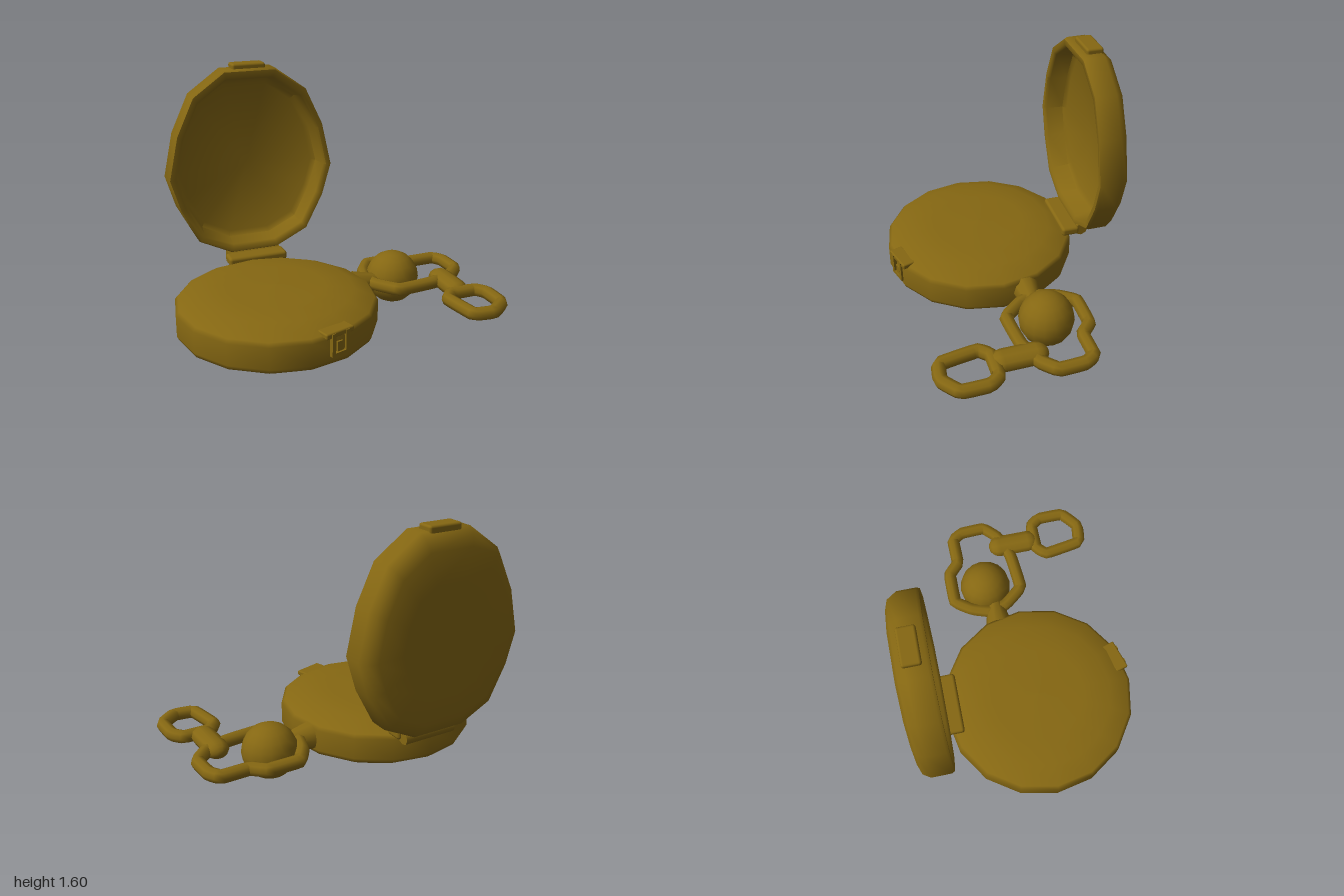
import * as THREE from 'three';
import { toCreasedNormals } from 'three/addons/utils/BufferGeometryUtils.js';
import { RoundedBoxGeometry } from 'three/addons/geometries/RoundedBoxGeometry.js';

const brass = new THREE.MeshStandardMaterial({ color: 0x856712 });
brass.name = 'agedBrass';

function add(parent, name, geometry, x = 0, y = 0, z = 0) {
  const mesh = new THREE.Mesh(geometry, brass);
  mesh.name = name;
  mesh.position.set(x, y, z);
  parent.add(mesh);
  return mesh;
}

// Hollow lid: one outline swept through [scale, z] sections, back to inner floor
function lidGeometry() {
  const cx = -0.317, cy = 0.93;
  const right = [[0.16, 0.345], [0.375, 0.45], [0.495, 0.68], [0.557, 0.89],
    [0.495, 1.175], [0.38, 1.42], [0.17, 1.57]];
  const outline = [...right, ...[...right].reverse().map(([x, y]) => [-x, y])];
  const sections = [[0, -0.722], [0.55, -0.722], [0.84, -0.718], [0.95, -0.695], [1, -0.65],
    [1, -0.53], [0.985, -0.513], [0.93, -0.513], [0.905, -0.53], [0.875, -0.64], [0.82, -0.66], [0, -0.665]];
  const n = outline.length, pos = [], index = [];
  for (const [s, z] of sections)
    for (const [x, y] of outline) pos.push(cx + x * s, cy + (y - cy) * s, z);
  for (let i = 0; i < sections.length - 1; i++)
    for (let j = 0; j < n; j++) {
      const k = (j + 1) % n, a = i * n, b = a + n;
      if (i > 0) index.push(a + j, a + k, b + k);
      else index.push(a + j, b + k, b + j);
      if (i > 0 && i < sections.length - 2) index.push(a + j, b + k, b + j);
    }
  const g = new THREE.BufferGeometry();
  g.setAttribute('position', new THREE.Float32BufferAttribute(pos, 3));
  g.setIndex(index);
  return toCreasedNormals(g, 0.9);
}

// Closed chain link bent along [x, z] points
function linkGeometry(points, radius) {
  const path = new THREE.CatmullRomCurve3(
    points.map(([x, z]) => new THREE.Vector3(x, 0, z)), true, 'catmullrom', 0.12);
  return new THREE.TubeGeometry(path, points.length * 5, radius, 8, true);
}

export function createModel() {
  const model = new THREE.Group();
  model.name = 'pocketWatch';

  // Case
  const profile = [[0, 0], [0.44, 0], [0.49, 0.02], [0.54, 0.05], [0.61, 0.09], [0.625, 0.12],
    [0.625, 0.255], [0.605, 0.277], [0.48, 0.332], [0.3, 0.348], [0, 0.355]];
  add(model, 'case', new THREE.LatheGeometry(profile.map(([x, y]) => new THREE.Vector2(x, y)), 16),
    -0.375, 0, 0.1);

  // Lid with its catch
  add(model, 'lid', lidGeometry());
  add(model, 'lidCatch', new RoundedBoxGeometry(0.22, 0.06, 0.11, 2, 0.015), -0.31, 1.572, -0.61);

  // Hinge
  const barrel = add(model, 'hingeBarrel', new THREE.CylinderGeometry(0.045, 0.045, 0.36, 8), -0.32, 0.305, -0.56);
  barrel.rotation.z = Math.PI / 2;
  add(model, 'hingeLeaf', new RoundedBoxGeometry(0.4, 0.06, 0.12, 2, 0.02), -0.32, 0.31, -0.48);

  // Latch: a small frame round a recess on the case front
  const latch = new THREE.Group();
  latch.name = 'latch';
  latch.position.set(-0.203, 0, 0.69);
  latch.rotation.y = 0.29;
  for (const side of [-1, 1])
    add(latch, 'latchSide', new THREE.BoxGeometry(0.025, 0.13, 0.04), side * 0.05, 0.225, 0);
  add(latch, 'latchTop', new RoundedBoxGeometry(0.2, 0.035, 0.09, 2, 0.01), 0, 0.28, -0.03);
  add(latch, 'latchSill', new THREE.BoxGeometry(0.125, 0.02, 0.04), 0, 0.157, 0);
  add(latch, 'latchButton', new THREE.BoxGeometry(0.04, 0.06, 0.025), 0, 0.2, 0);
  model.add(latch);

  // Collar and ball
  const collar = add(model, 'collar', new THREE.CylinderGeometry(0.055, 0.09, 0.16, 10), 0.29, 0.19, -0.05);
  collar.rotation.z = -Math.PI / 2;
  add(model, 'ball', new THREE.SphereGeometry(0.175, 16, 10), 0.51, 0.19, -0.09);

  // Chain
  const bigLink = [[0.43, -0.32], [0.64, -0.32], [0.72, -0.25], [0.9, -0.25], [0.945, -0.18],
    [0.95, -0.02], [0.86, 0.07], [0.7, 0.13], [0.45, 0.15], [0.34, 0.02], [0.31, -0.09], [0.35, -0.21]];
  add(model, 'largeLink', linkGeometry(bigLink, 0.043), 0, 0.2, 0);
  const smallLink = [[0.73, 0.325], [0.9, 0.325], [0.95, 0.39], [0.95, 0.56], [0.84, 0.65], [0.71, 0.63], [0.67, 0.39]];
  add(model, 'smallLink', linkGeometry(smallLink, 0.043), 0, 0.197, 0);
  const joint = add(model, 'linkJoint', new THREE.CapsuleGeometry(0.078, 0.2, 4, 10), 0.79, 0.2, 0.17);
  joint.rotation.x = Math.PI / 2;
  joint.scale.z = 0.75;

  return model;
}
